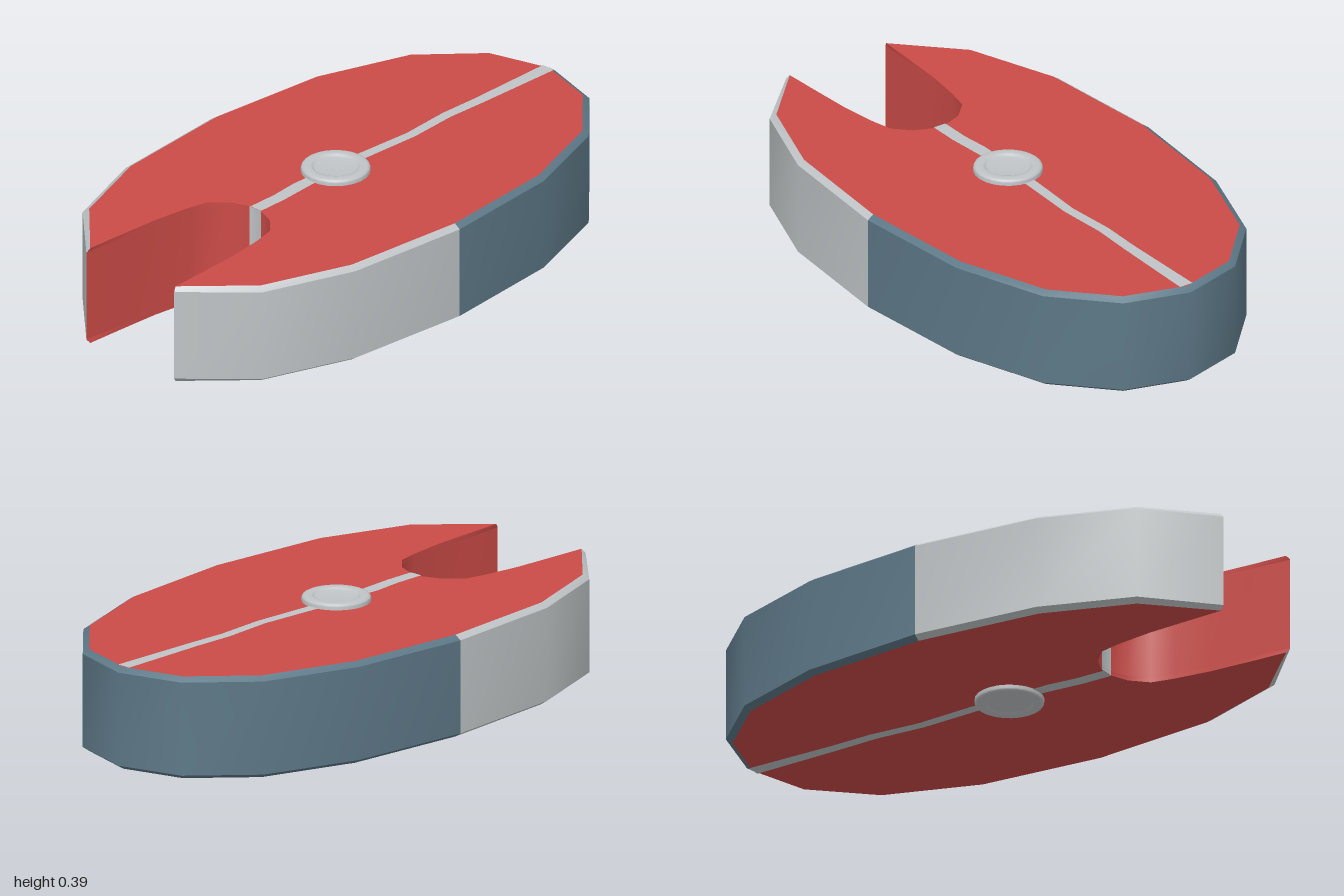
import * as THREE from 'three';

const TOP = 0.37, BOTTOM = 0.02, INSET = 0.022, CHAMFER = 0.015;
const HUB_Z = 0.03;

const mat = (name, color) => {
  const m = new THREE.MeshStandardMaterial({ color });
  m.name = name;
  return m;
};

// Mirrors a half outline given from the +x end towards x = 0
const mirrored = (half) => {
  const other = half.filter(([x]) => x > 0).reverse().map(([x, z]) => [-x, z]);
  return [...half, ...other];
};

// Smooth strip through columns of points; pick(i) is the material index of segment i
function strip(columns, row, pick) {
  const pos = [], index = [];
  columns.forEach((c) => pos.push(...c[row], ...c[row + 1]));
  const g = new THREE.BufferGeometry();
  for (let i = 0; i < columns.length - 1; i++) {
    const a = i * 2;
    index.push(a, a + 1, a + 2, a + 1, a + 3, a + 2);
    g.addGroup(i * 6, 6, pick(i));
  }
  g.setAttribute('position', new THREE.Float32BufferAttribute(pos, 3));
  g.setIndex(index);
  g.computeVertexNormals();
  return g;
}

// Flat plate of [x, z] points, facing up or down at height y
function plate(points, y, up) {
  const s = up ? -1 : 1;
  const shape = new THREE.Shape(points.map(([x, z]) => new THREE.Vector2(x, z * s)));
  return new THREE.ShapeGeometry(shape).rotateX(s * Math.PI / 2).translate(0, y, 0);
}

export function createModel() {
  const red = mat('red', 0xcb4b47);
  const grey = mat('light grey', 0xc0c4c6);
  const slate = mat('slate blue', 0x5d7887);
  const model = new THREE.Group();
  const add = (name, geometry, material) => {
    const m = new THREE.Mesh(geometry, material);
    m.name = name;
    model.add(m);
    return m;
  };

  // Outer outline, from the right prong tip round the back to the left tip
  const outer = mirrored([[0.2, 1], [0.41, 0.8], [0.525, 0.48], [0.565, 0.03],
    [0.525, -0.41], [0.41, -0.74], [0.225, -0.935], [0, -1]]);
  const last = outer.length - 1;
  const inner = outer.map(([x, z], i) => {
    if (i === 0 || i === last) return [x - Math.sign(x) * 0.006, z - 0.012];
    const [ax, az] = outer[i - 1], [bx, bz] = outer[i + 1];
    const dx = bx - ax, dz = bz - az, l = Math.hypot(dx, dz);
    return [x + (dz / l) * INSET, z - (dx / l) * INSET];
  });

  // Four heights per outline point: chamfer, wall, chamfer
  const section = ([ox, oz], [ix, iz]) => [
    [ix, TOP, iz], [ox, TOP - CHAMFER, oz], [ox, BOTTOM + CHAMFER, oz], [ix, BOTTOM, iz]];
  const rim = outer.map((p, i) => section(p, inner[i]));
  const rimColour = (i) => (i < 3 || i > 10 ? 0 : 1);
  ['upperRim', 'sideWall', 'lowerRim'].forEach((name, row) =>
    add(name, strip(rim, row, rimColour), [grey, slate]));

  // Notch at the front, from the left tip to the right tip
  const notch = mirrored([[0.188, 0.85], [0.18, 0.7], [0.163, 0.57], [0.145, 0.49],
    [0.09, 0.435], [0.027, 0.41]]).reverse();
  const notchColumns = [rim[last], ...notch.map((p) => section(p, p)), rim[0]];
  const middle = (notchColumns.length - 2) / 2;
  for (let row = 0; row < 3; row++) {
    add('notchWall', strip(notchColumns, row, (i) => (i === middle ? 1 : 0)), [red, grey]);
  }

  // Top and bottom faces with their centre stripe
  const face = [...inner, ...notch];
  const stripe = [[-0.025, -0.975], [-0.022, -0.65], [-0.026, -0.5], [-0.012, -0.32], [-0.025, -0.1],
    [-0.03, 0.2], [-0.02, 0.3], [-0.02, 0.411], [0.027, 0.411], [0.027, 0.3], [0.016, 0.15],
    [0.014, -0.1], [0.024, -0.32], [0.012, -0.5], [0.018, -0.65], [0.025, -0.975]];
  add('topFace', plate(face, TOP, true), red);
  add('bottomFace', plate(face, BOTTOM, false), red);
  add('topStripe', plate(stripe, TOP + 0.002, true), grey);
  add('bottomStripe', plate(stripe, BOTTOM - 0.002, false), grey);

  // Round hub caps with a shallow dish
  const profile = [[0.115, 0], [0.115, 0.025], [0.112, 0.031], [0.104, 0.035], [0.084, 0.035],
    [0.076, 0.032], [0.07, 0.025], [0, 0.025]].map(([r, y]) => new THREE.Vector2(r, y));
  const cap = new THREE.LatheGeometry(profile, 24);
  const upper = add('topHub', cap, grey);
  upper.position.set(0, 0.355, HUB_Z);
  const lower = add('bottomHub', cap, grey);
  lower.position.set(0, 0.035, HUB_Z);
  lower.rotation.x = Math.PI;

  return model;
}
